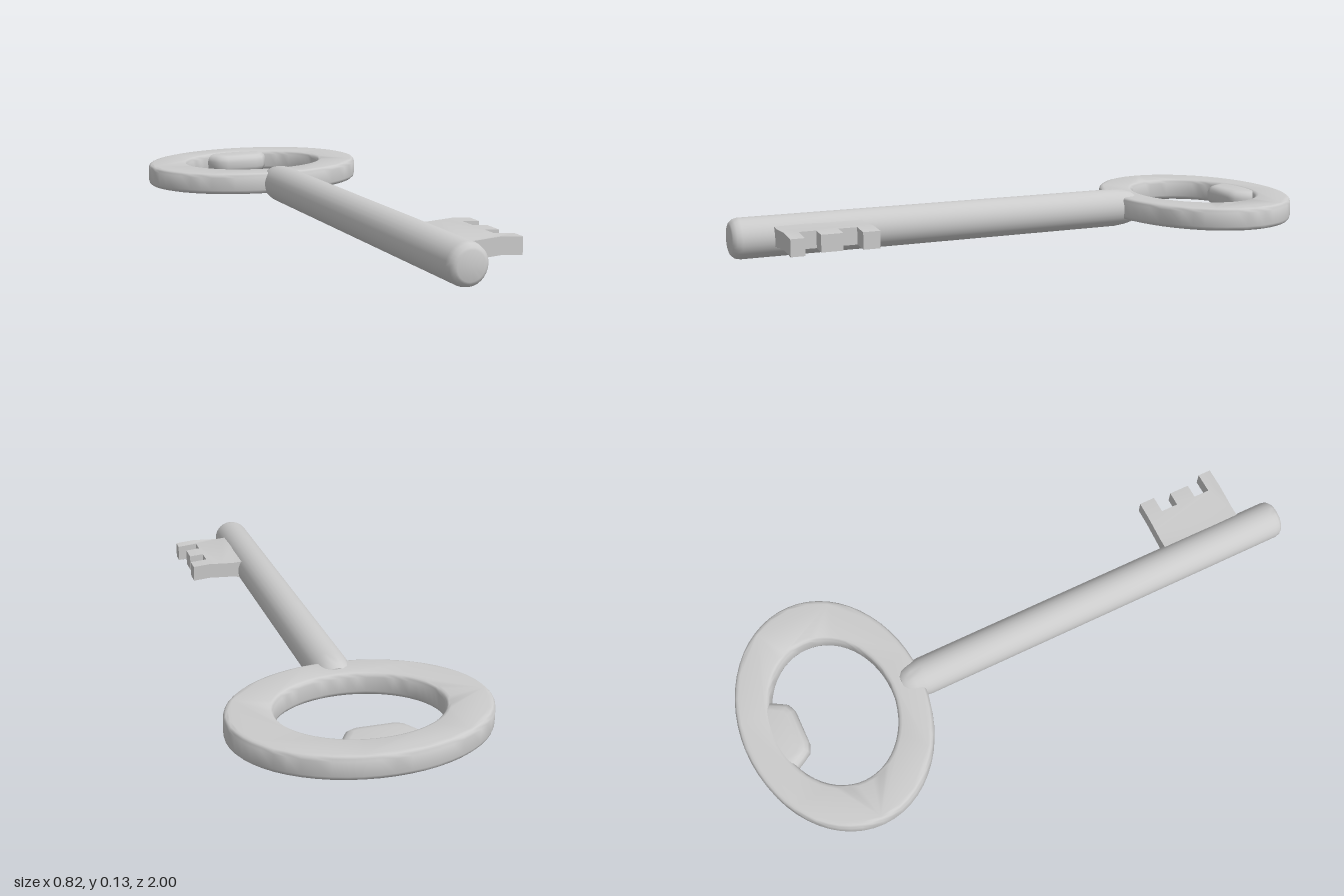
import * as THREE from 'three';
import { toCreasedNormals } from 'three/addons/utils/BufferGeometryUtils.js';

const material = new THREE.MeshStandardMaterial({ color: 0xcccccc });

function part(name, geometry, crease = 0.9) {
  const mesh = new THREE.Mesh(toCreasedNormals(geometry, crease), material);
  mesh.name = name;
  return mesh;
}

// Flat shape drawn in x / -z, raised from y0 to y1; the bevel stays inside the outline.
function slab(shape, y0, y1, bevelSize, bevelThickness) {
  const bevelEnabled = bevelSize > 0;
  const t = bevelEnabled ? bevelThickness : 0;
  const g = new THREE.ExtrudeGeometry(shape, {
    depth: y1 - y0 - 2 * t, bevelEnabled, bevelSize, bevelThickness: t,
    bevelOffset: -bevelSize, bevelSegments: 3, curveSegments: 28,
  });
  return g.rotateX(-Math.PI / 2).translate(0, y0 + t, 0);
}

const outline = (pts) => new THREE.Shape(pts.map(([x, z]) => new THREE.Vector2(x, -z)));

export function createModel() {
  const key = new THREE.Group();
  key.name = 'key';

  // Oval handle ring
  const oval = new THREE.Shape().absellipse(0, 0.685, 0.41, 0.315, 0, Math.PI * 2, false, 0);
  oval.holes.push(new THREE.Path().absellipse(0, 0.685, 0.26, 0.205, 0, Math.PI * 2, true, 0));
  key.add(part('handleRing', slab(oval, 0.03, 0.107, 0.015, 0.015)));

  // Rounded lip on the inside of the ring
  const half = [[0.125, -0.95], [0.122, -0.865], [0.105, -0.835], [0.09, -0.812], [0.06, -0.8]];
  const lip = outline([...half, ...half.map(([x, z]) => [-x, z]).reverse()].reverse());
  key.add(part('handleLip', slab(lip, 0.032, 0.105, 0.03, 0.025)));

  // Round shaft with softened ends
  const profile = [
    [0, -0.44], [0.045, -0.44], [0.055, -0.425], [0.061, -0.4], [0.0655, -0.36],
    [0.0655, 0.97], [0.062, 0.986], [0.052, 0.997], [0.045, 1], [0, 1],
  ].map(([r, z]) => new THREE.Vector2(r, z));
  const shaft = new THREE.LatheGeometry(profile, 28).rotateX(Math.PI / 2);
  shaft.translate(-0.008, 0.0655, 0);
  key.add(part('shaft', shaft));

  // Toothed bit, bowed gently upward and thicker where it meets the shaft
  const bit = outline([
    [0, 0.87], [0.055, 0.87], [0.08, 0.87], [0.12, 0.87], [0.17, 0.87], [0.24, 0.87],
    [0.24, 0.825], [0.17, 0.825], [0.17, 0.77], [0.22, 0.77], [0.22, 0.7], [0.17, 0.7],
    [0.17, 0.64], [0.23, 0.64], [0.23, 0.585], [0.17, 0.585], [0.12, 0.585], [0.08, 0.585],
    [0.055, 0.585], [0, 0.585],
  ]);
  const bitGeometry = slab(bit, -0.0275, 0.0275, 0, 0);
  const pos = bitGeometry.attributes.position;
  for (let i = 0; i < pos.count; i++) {
    const x = pos.getX(i);
    const bow = x < 0.17 ? 0.07 + 0.0085 * (x / 0.17) : 0.0785 - 0.09 * (x - 0.17);
    const flare = 1 + 0.35 * Math.max(0, 1 - x / 0.08);
    pos.setY(i, bow + pos.getY(i) * flare);
  }
  key.add(part('bit', bitGeometry, 0.6));

  return key;
}
